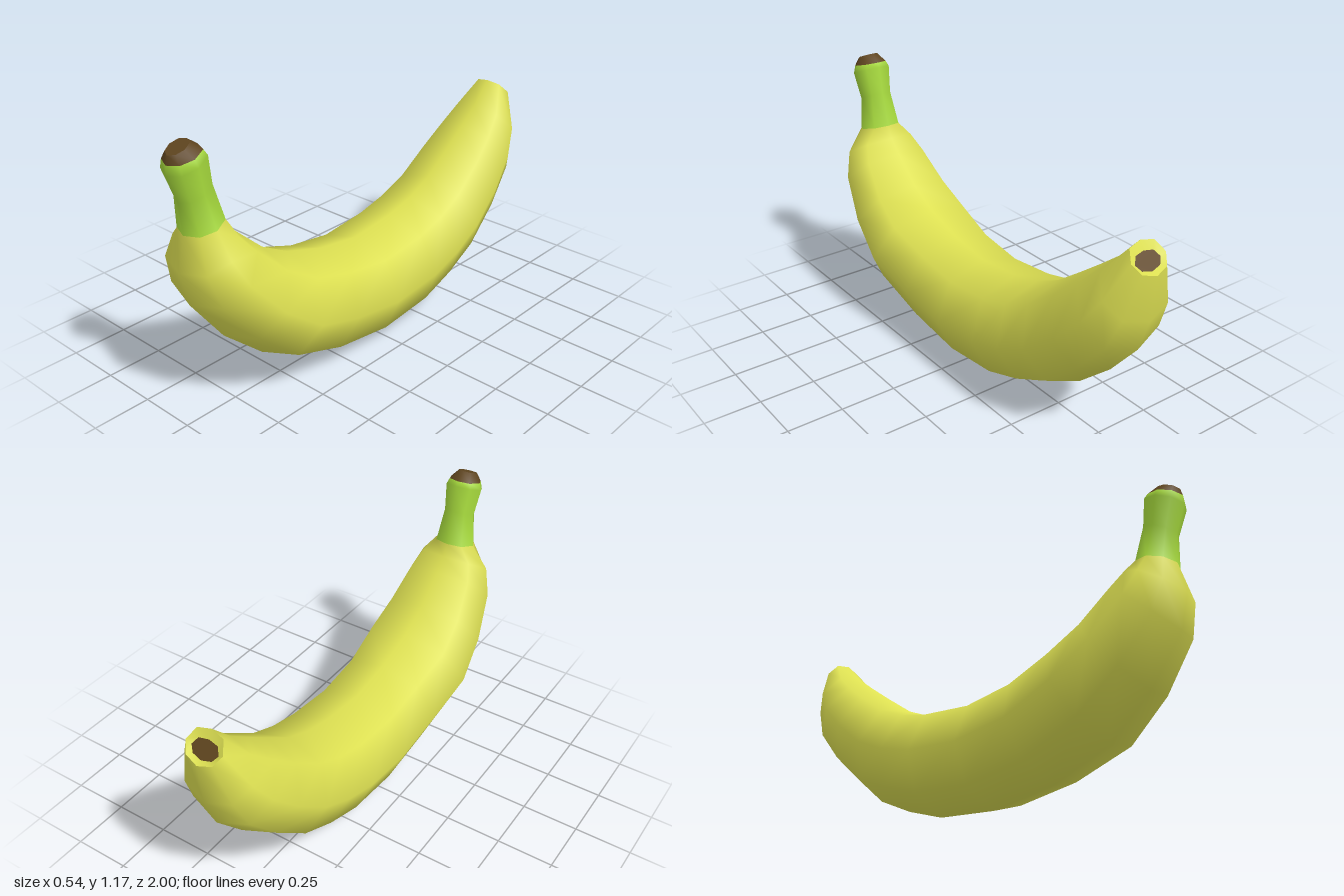
import * as THREE from 'three';

const SIDES = 8;

// Each section: [outer z, outer y, inner z, inner y, half width], from blossom tip to stem end
const SECTIONS = [
  [-0.997, 0.83, -0.9, 0.933, 0.085],
  [-0.98, 0.635, -0.805, 0.83, 0.16],
  [-0.93, 0.49, -0.71, 0.755, 0.195],
  [-0.794, 0.33, -0.607, 0.677, 0.22],
  [-0.623, 0.18, -0.468, 0.576, 0.235],
  [-0.447, 0.096, -0.34, 0.517, 0.245],
  [-0.26, 0.032, -0.195, 0.48, 0.25],
  [0.024, 0.003, 0.03, 0.455, 0.25],
  [0.324, 0.043, 0.238, 0.485, 0.25],
  [0.596, 0.144, 0.43, 0.544, 0.272],
  [0.79, 0.315, 0.57, 0.62, 0.25],
  [0.94, 0.517, 0.698, 0.736, 0.212],
  [0.976, 0.667, 0.755, 0.795, 0.17],
  [0.945, 0.81, 0.78, 0.85, 0.093], // stem base
  [0.955, 0.944, 0.82, 1.0, 0.07],
  [0.998, 1.06, 0.837, 1.12, 0.085], // stem flare
  [0.995, 1.1, 0.85, 1.14, 0.072],
  [0.985, 1.135, 0.895, 1.172, 0.042],
];
const STEM_BASE = 13, STEM_TOP = 16, LAST = SECTIONS.length - 1;
// Sunken ring inside the blossom tip
const TIP_HOLLOW = [-0.972, 0.838, -0.92, 0.898, 0.062];

// Eight corners of one section; the inner curve is a little flatter than the outer one
function ringPoints([oz, oy, iz, iy, w]) {
  const points = [];
  for (let j = 0; j < SIDES; j++) {
    const a = (j / SIDES) * Math.PI * 2;
    let s = Math.sin(a);
    if (s > 0.5 && s < 0.9) s = 0.78;
    const t = (s + 1) / 2;
    points.push(w * Math.cos(a), oy + (iy - oy) * t, oz + (iz - oz) * t);
  }
  return points;
}

function loft(sections) {
  const geo = new THREE.BufferGeometry();
  geo.setAttribute('position', new THREE.Float32BufferAttribute(sections.flatMap(ringPoints), 3));
  geo.setIndex(bandIndex(0, sections.length - 1));
  geo.computeVertexNormals();
  return geo;
}

// Triangles joining the rings from..to
function bandIndex(from, to) {
  const index = [];
  for (let i = from; i < to; i++) {
    for (let j = 0; j < SIDES; j++) {
      const k = (j + 1) % SIDES;
      const a = i * SIDES + j, b = i * SIDES + k;
      index.push(a, b, a + SIDES, b, b + SIDES, a + SIDES);
    }
  }
  return index;
}

// Flat face closing one ring
function cap(section, flip) {
  const geo = new THREE.BufferGeometry();
  geo.setAttribute('position', new THREE.Float32BufferAttribute(ringPoints(section), 3));
  const index = [];
  for (let j = 1; j < SIDES - 1; j++) index.push(...(flip ? [0, j + 1, j] : [0, j, j + 1]));
  geo.setIndex(index);
  geo.computeVertexNormals();
  return geo;
}

export function createModel() {
  const group = new THREE.Group();
  group.name = 'banana';
  const yellow = new THREE.MeshStandardMaterial({ color: 0xdde052 });
  const green = new THREE.MeshStandardMaterial({ color: 0xa5d83c });
  const brown = new THREE.MeshStandardMaterial({ color: 0x5f451f });

  const add = (name, geo, material) => {
    const mesh = new THREE.Mesh(geo, material);
    mesh.name = name;
    group.add(mesh);
  };

  // Peel, stem and stem end share one smooth skin, split by colour
  const skin = loft(SECTIONS);
  const slice = (from, to) => {
    const geo = skin.clone();
    geo.setIndex(bandIndex(from, to));
    return geo;
  };
  add('peel', slice(0, STEM_BASE), yellow);
  add('stem', slice(STEM_BASE, STEM_TOP), green);
  add('stemEnd', slice(STEM_TOP, LAST), brown);
  add('stemCut', cap(SECTIONS[LAST], false), brown);

  // Blossom end: narrow yellow rim around a sunken brown face
  add('tipRim', loft([TIP_HOLLOW, SECTIONS[0]]), yellow);
  add('tipFace', cap(TIP_HOLLOW, true), brown);

  return group;
}
